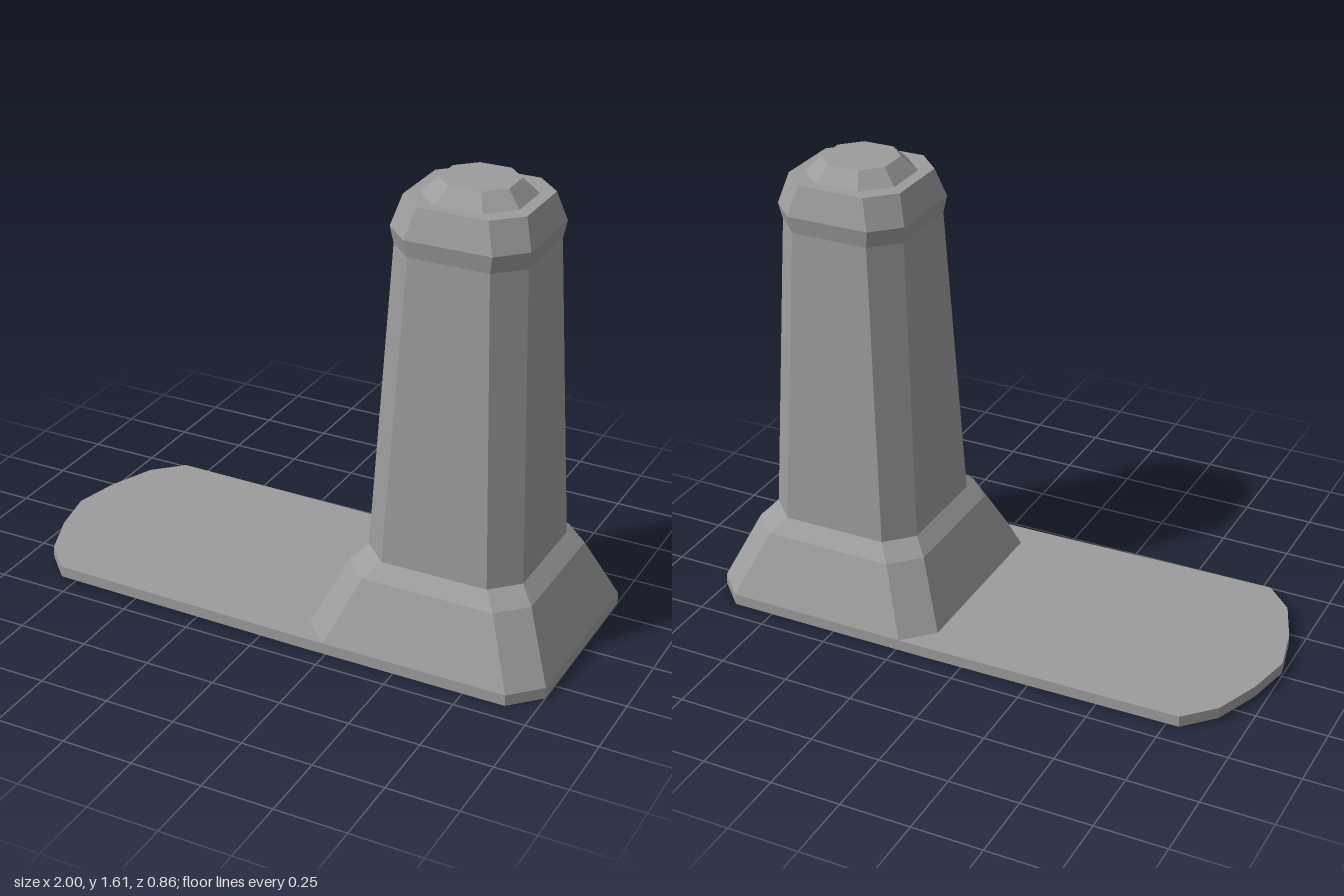
import * as THREE from 'three';

const material = new THREE.MeshStandardMaterial({ color: 0x9c9c9c, flatShading: true, side: THREE.DoubleSide });
const CX = 0.57; // post axis
const RIM = 0.04; // height of the rim

// The long foot rises slightly towards its rounded end
const lift = (x) => 0.013 * Math.max(0, 0.14 - x) / 1.14;

// Square section with cut corners: half width a, half length of each flat side b
const section = (a, b, y) =>
  [[a, b], [a, -b], [b, -a], [-b, -a], [-a, -b], [-a, b], [-b, a], [b, a]]
    .map(([x, z]) => [CX + x, y, z]);

// Skin closed loops of points, counter-clockwise seen from above
function loft(loops, capped) {
  const n = loops[0].length;
  const index = [];
  for (let k = 0; k < loops.length - 1; k++) {
    for (let i = 0; i < n; i++) {
      const p = k * n + i, q = k * n + (i + 1) % n;
      index.push(p, q, q + n, p, q + n, p + n);
    }
  }
  if (capped) {
    const s = (loops.length - 1) * n;
    for (let i = 1; i < n - 1; i++) index.push(s, s + i, s + i + 1);
  }
  const g = new THREE.BufferGeometry();
  g.setAttribute('position', new THREE.Float32BufferAttribute(loops.flat(2), 3));
  g.setIndex(index);
  g.computeVertexNormals();
  return g;
}

export function createModel() {
  const group = new THREE.Group();
  const add = (name, geometry) => {
    const mesh = new THREE.Mesh(geometry, material);
    mesh.name = name;
    group.add(mesh);
  };

  // Flared base, open underneath
  add('flaredBase', loft([
    section(0.43, 0.33, RIM),
    section(0.33, 0.235, 0.265),
    section(0.28, 0.19, 0.315),
  ], false));

  // Tapered shaft
  add('shaft', loft([section(0.28, 0.19, 0.315), section(0.23, 0.14, 1.395)], false));

  // Collar and stepped cap
  add('cap', loft([
    section(0.23, 0.14, 1.395),
    section(0.24, 0.15, 1.455),
    section(0.21, 0.12, 1.558),
    section(0.168, 0.082, 1.558),
    section(0.12, 0.055, 1.61),
  ], true));

  // Rounded end of the foot, from back to front
  const end = [[-0.8, -0.43], [-0.9, -0.33], [-0.965, -0.165], [-1, 0],
    [-0.965, 0.165], [-0.9, 0.33], [-0.8, 0.43]];

  // Thin rim around the foot and the post base
  const outline = [[0.9, 0.43], [1, 0.33], [1, -0.33], [0.9, -0.43], [0.14, -0.43], ...end, [0.14, 0.43]];
  add('rim', loft([0, RIM].map((h) => outline.map(([x, z]) => [x, h + lift(x), z])), false));

  // Flat top of the foot, cut to fit the post base
  const top = [[0.24, -0.43], [0.14, -0.43], ...end, [0.14, 0.43], [0.24, 0.43], [0.14, 0.33], [0.14, -0.33]];
  const foot = new THREE.ShapeGeometry(new THREE.Shape(top.map(([x, z]) => new THREE.Vector2(x, -z))));
  foot.rotateX(-Math.PI / 2);
  const pos = foot.attributes.position;
  for (let i = 0; i < pos.count; i++) pos.setY(i, RIM + lift(pos.getX(i)));
  foot.computeVertexNormals();
  add('footPlate', foot);

  return group;
}
